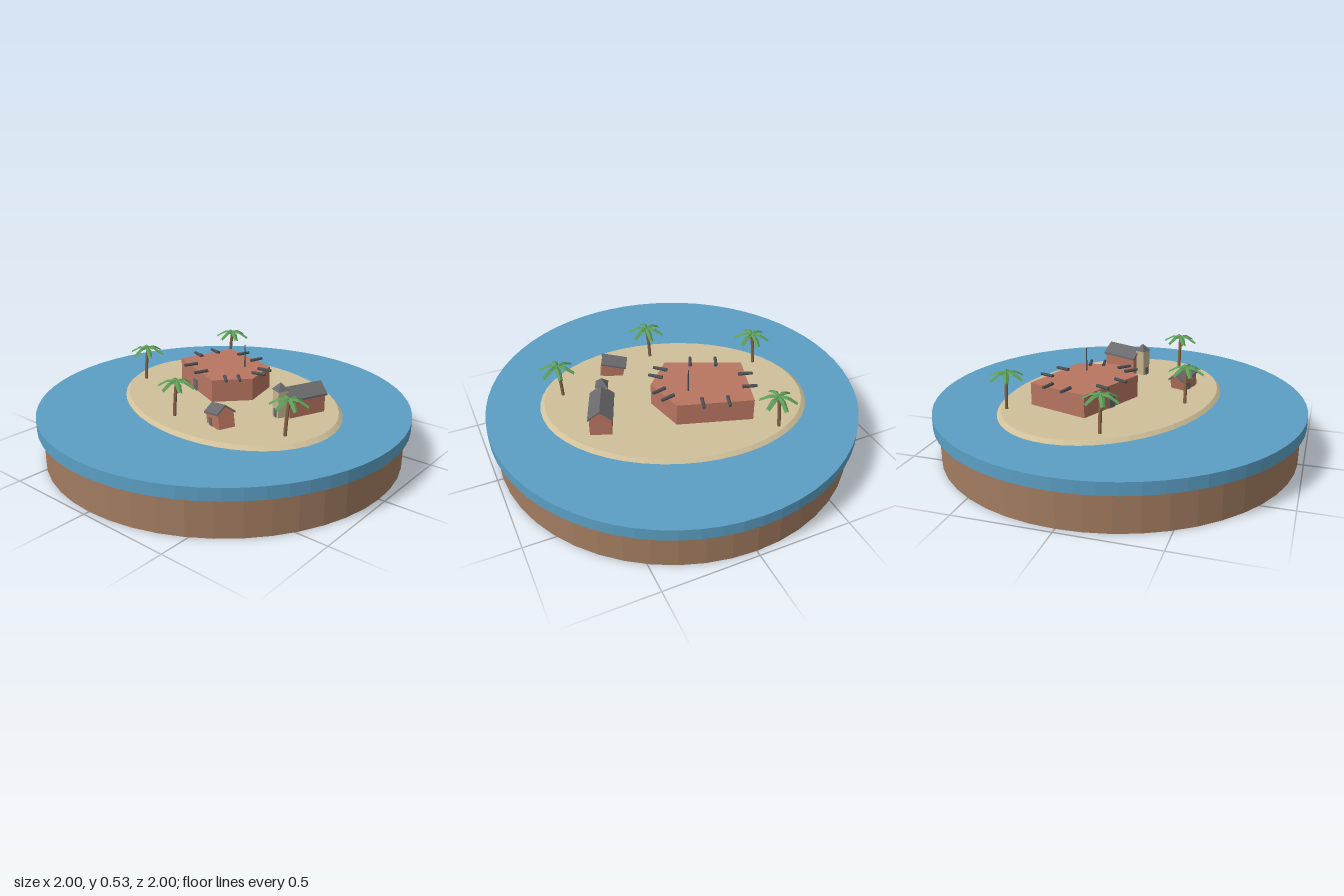
import * as THREE from 'three';

const paint = (name, color) => {
  const m = new THREE.MeshStandardMaterial({ color });
  m.name = name;
  return m;
};

export function createModel() {
  const model = new THREE.Group();
  model.name = 'islandFort';
  const earth = paint('earth', 0xa27c60);
  const water = paint('water', 0x5b9fc4);
  const sand = paint('sand', 0xd0c09a);
  const brick = paint('brick', 0xb87560);
  const slate = paint('slate', 0x6a6a6c);
  const iron = paint('iron', 0x4c5054);
  const stone = paint('stone', 0xc4b48e);
  const trunkBrown = paint('trunk', 0x8a6648);
  const leaf = paint('leaf', 0x5c9c58);
  leaf.side = THREE.DoubleSide;

  // Faceted mesh: unshared vertices give flat normals
  function add(parent, name, geometry, material, x = 0, y = 0, z = 0) {
    const g = geometry.index ? geometry.toNonIndexed() : geometry;
    g.computeVertexNormals();
    const mesh = new THREE.Mesh(g, material);
    mesh.name = name;
    mesh.position.set(x, y, z);
    parent.add(mesh);
    return mesh;
  }
  const group = (name, x, y, z) => {
    const g = new THREE.Group();
    g.name = name;
    g.position.set(x, y, z);
    model.add(g);
    return g;
  };
  const outline = (pts) => new THREE.Shape(pts.map(([x, y]) => new THREE.Vector2(x, y)));
  const extrude = (pts, depth) =>
    new THREE.ExtrudeGeometry(outline(pts), { depth, bevelEnabled: false });

  // Ground layers
  const ground = 0.283;
  add(model, 'earthBase', new THREE.CylinderGeometry(0.97, 0.97, 0.2, 48), earth, 0, 0.1, 0);
  add(model, 'sea', new THREE.CylinderGeometry(1, 1, 0.065, 64), water, 0, 0.2325, 0);
  const island = add(model, 'island', new THREE.CylinderGeometry(0.963, 1, 0.02, 48)
    .scale(0.718, 1, 0.537), sand, 0.01, ground - 0.01, -0.04);
  island.rotation.y = -0.342;

  // Five-sided fort with two cannons on each wall
  const corners = [[-0.28, -0.4], [0.1, -0.28], [0.15, -0.06], [0, 0.1], [-0.38, -0.07]];
  const fort = group('fort', 0, 0, 0);
  const fortTop = 0.405;
  add(fort, 'fortWalls', extrude(corners, fortTop - 0.28).rotateX(Math.PI / 2), brick, 0, fortTop, 0);
  corners.forEach(([ax, az], i) => {
    const [bx, bz] = corners[(i + 1) % corners.length];
    const turn = Math.atan2(bz - az, -(bx - ax)) ;
    for (const t of [1 / 3, 2 / 3]) {
      const cannon = add(fort, 'cannon',
        new THREE.CylinderGeometry(0.008, 0.01, 0.078, 8).rotateX(Math.PI / 2), iron,
        ax + (bx - ax) * t, fortTop + 0.006, az + (bz - az) * t);
      cannon.rotation.y = turn;
    }
  });
  add(fort, 'flagpole', new THREE.CylinderGeometry(0.003, 0.004, 0.13, 6), iron, -0.006, 0.468, -0.188);
  const gate = add(fort, 'gate', new THREE.BoxGeometry(0.042, 0.062, 0.008), slate, -0.195, 0.314, 0.015);
  gate.rotation.y = -Math.atan2(0.17, 0.38);

  // Gabled house with its ridge along local z
  function house(g, width, length, wall, rise, over) {
    const w = width / 2, e = w + over, t = 0.01;
    const drop = (over * rise) / w;
    add(g, 'houseWalls', extrude([[-w, 0], [w, 0], [w, wall], [0, wall + rise], [-w, wall]], length),
      brick, 0, 0, -length / 2);
    add(g, 'houseRoof', extrude([[-e, wall - drop], [0, wall + rise], [e, wall - drop],
      [e, wall - drop + t], [0, wall + rise + t], [-e, wall - drop + t]], length + over * 2),
      slate, 0, 0, -length / 2 - over);
  }

  // Chapel with a square tower at its front end
  const chapel = group('chapel', 0.44, 0.28, -0.1);
  chapel.rotation.y = -0.39;
  house(chapel, 0.112, 0.21, 0.1, 0.045, 0.008);
  add(chapel, 'tower', new THREE.BoxGeometry(0.056, 0.145, 0.056), stone, 0, 0.0725, 0.13);
  add(chapel, 'towerRoof', new THREE.ConeGeometry(0.047, 0.04, 4).rotateY(Math.PI / 4),
    slate, 0, 0.165, 0.13);
  add(chapel, 'towerDoor', new THREE.BoxGeometry(0.022, 0.045, 0.006), slate, 0, 0.0245, 0.159);

  // Small tilted hut
  const hut = group('hut', 0.24, 0.276, 0.306);
  hut.rotation.set(0, -0.36, 0.22, 'YXZ');
  const hutBody = new THREE.Group();
  hutBody.name = 'hutBody';
  hutBody.rotation.y = Math.PI / 2;
  hut.add(hutBody);
  house(hutBody, 0.088, 0.125, 0.075, 0.033, 0.007);
  add(hut, 'hutDoor', new THREE.BoxGeometry(0.026, 0.045, 0.006), slate, -0.02, 0.03, 0.045);

  // Drooping frond: folded strip swept along +x
  function frondGeometry() {
    const ribs = [[0, 0.008, 0.008], [0.045, 0.006, 0.015], [0.095, -0.024, 0.011]];
    const rows = ribs.map(([x, y, w]) => [[x, y - 0.009, -w], [x, y, 0], [x, y - 0.009, w]]);
    const p = [];
    for (let i = 0; i < 2; i++) {
      for (let j = 0; j < 2; j++) {
        const a = rows[i][j], b = rows[i][j + 1], c = rows[i + 1][j + 1], d = rows[i + 1][j];
        p.push(...a, ...b, ...c, ...a, ...c, ...d);
      }
    }
    return new THREE.BufferGeometry().setAttribute('position', new THREE.Float32BufferAttribute(p, 3));
  }

  // Palms with leaning trunks and six fronds
  for (const [x, z] of [[-0.355, -0.5], [-0.52, 0.065], [-0.004, 0.365], [0.572, 0.205]]) {
    const palm = group('palm', x, ground, z);
    const lean = new THREE.CatmullRomCurve3([
      new THREE.Vector3(-0.018, -0.005, 0), new THREE.Vector3(-0.012, 0.09, 0), new THREE.Vector3(0, 0.185, 0)]);
    add(palm, 'palmTrunk', new THREE.TubeGeometry(lean, 4, 0.009, 6), trunkBrown);
    for (let k = 0; k < 6; k++) {
      const frond = add(palm, 'palmFrond', frondGeometry(), leaf, 0, 0.19, 0);
      frond.rotation.y = THREE.MathUtils.degToRad(25 - 60 * k);
    }
  }
  return model;
}
